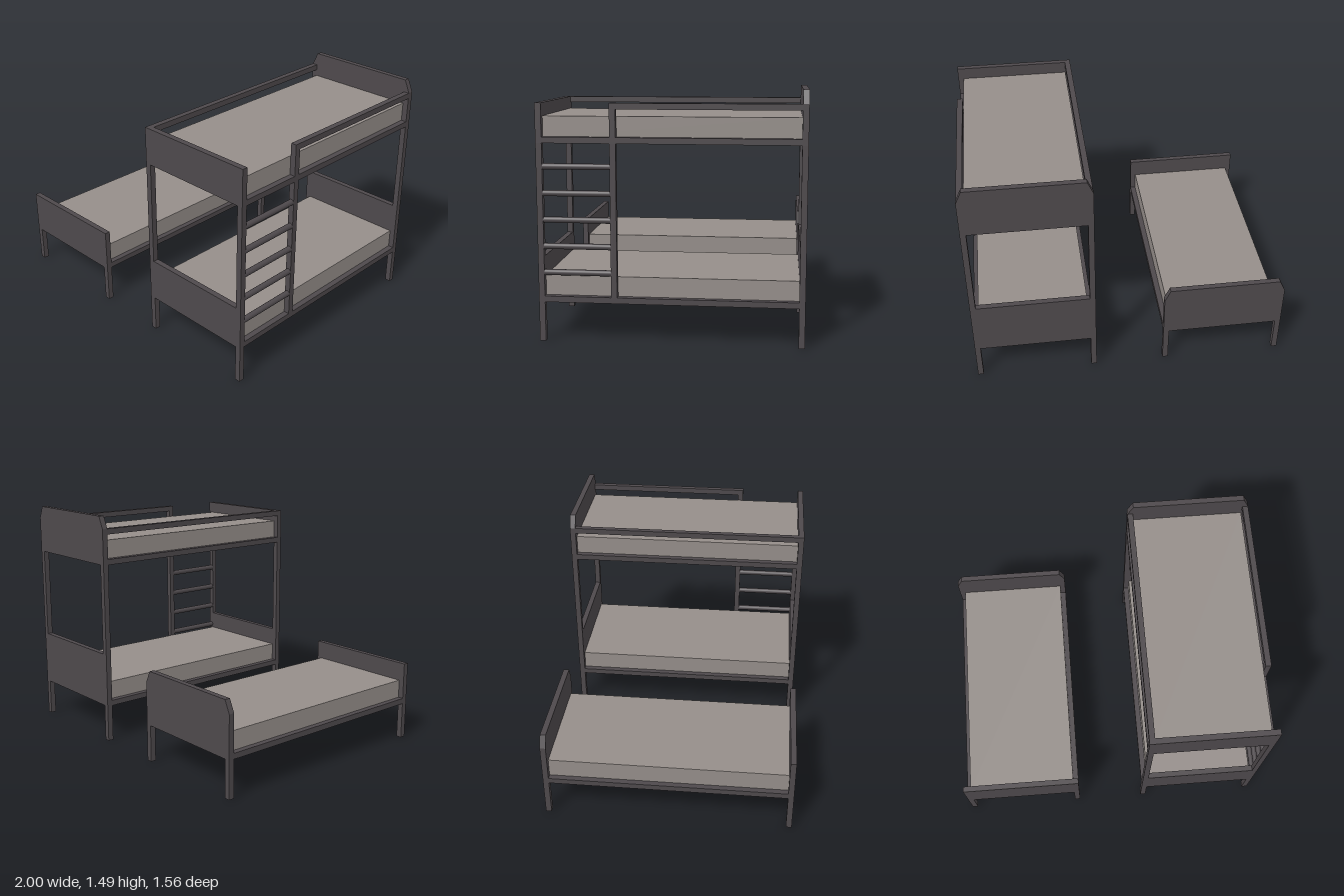
import * as THREE from 'three';

const T = 0.036;              // timber thickness
const W = 0.78, L = 1.564;    // outer bed width and length
const HX = W / 2, HZ = L / 2;

const frame = new THREE.MeshStandardMaterial({ color: 0x4e494c });
frame.name = 'dark frame';
const cloth = new THREE.MeshStandardMaterial({ color: 0x958e8a });
cloth.name = 'grey mattress';

// Box given by its limits on each axis
function box(parent, name, [x0, x1], [y0, y1], [z0, z1], material = frame) {
  const mesh = new THREE.Mesh(new THREE.BoxGeometry(x1 - x0, y1 - y0, z1 - z0), material);
  mesh.position.set((x0 + x1) / 2, (y0 + y1) / 2, (z0 + z1) / 2);
  mesh.name = name;
  parent.add(mesh);
}

// Board at the head with two chamfered top corners
function headboard(parent, y0, shoulder, top) {
  const shape = new THREE.Shape([
    [-HX, y0], [HX, y0], [HX, shoulder], [HX - T, top], [-HX + T, top], [-HX, shoulder],
  ].map(([x, y]) => new THREE.Vector2(x, y)));
  const mesh = new THREE.Mesh(
    new THREE.ExtrudeGeometry(shape, { depth: T, bevelEnabled: false }), frame);
  mesh.position.z = -HZ;
  mesh.name = 'headboard';
  parent.add(mesh);
}

// Side rails, base panel and mattress; y is the underside
function deck(parent, y) {
  const inZ = [-HZ + T, HZ - T], inX = [-HX + T, HX - T];
  box(parent, 'leftRail', [HX - T, HX], [y, y + T], inZ);
  box(parent, 'rightRail', [-HX, -HX + T], [y, y + T], inZ);
  box(parent, 'base', inX, [y, y + T], inZ);
  box(parent, 'mattress', inX, [y + T, y + 0.155], inZ, cloth);
}

// Four corner posts between the floor and the boards
function posts(parent, y1) {
  for (const x of [-HX, HX - T])
    for (const z of [-HZ, HZ - T]) box(parent, 'post', [x, x + T], [0, y1], [z, z + T]);
}

function singleBed() {
  const bed = new THREE.Group();
  bed.name = 'singleBed';
  posts(bed, 0.238);
  deck(bed, 0.238);
  box(bed, 'footboard', [-HX, HX], [0.238, 0.512], [HZ - T, HZ]);
  headboard(bed, 0.238, 0.512, 0.59);
  return bed;
}

function bunkBed() {
  const bed = new THREE.Group();
  bed.name = 'bunkBed';
  const inX = [-HX + T, HX - T];
  posts(bed, 1.18);
  deck(bed, 0.238);
  deck(bed, 1.18);

  // End boards
  box(bed, 'lowerFootboard', inX, [0.238, 0.512], [HZ - T, HZ]);
  box(bed, 'lowerHeadboard', inX, [0.238, 0.59], [-HZ, -HZ + T]);
  box(bed, 'upperFootboard', [-HX, HX], [1.18, 1.412], [HZ - T, HZ]);
  headboard(bed, 1.18, 1.412, 1.492);

  // Guard rails: full length on one side, stopping at the ladder on the other
  const ladderZ = 0.35;
  box(bed, 'rightGuardRail', [-HX, -HX + T], [1.376, 1.412], [-HZ + T, HZ - T]);
  box(bed, 'leftGuardRail', [HX - T, HX], [1.376, 1.412], [-HZ + T, ladderZ - T]);

  // Ladder upright, fitted around the upper rail
  box(bed, 'ladderPostLower', [HX - T, HX], [0.274, 1.18], [ladderZ - T, ladderZ]);
  box(bed, 'ladderPostUpper', [HX - T, HX], [1.216, 1.412], [ladderZ - T, ladderZ]);

  // Round rungs
  const length = HZ - T - ladderZ;
  for (let i = 0; i < 5; i++) {
    const rung = new THREE.Mesh(new THREE.CylinderGeometry(T / 2, T / 2, length, 24), frame);
    rung.rotation.x = Math.PI / 2;
    rung.position.set(HX - T / 2, 0.416 + i * 0.157, ladderZ + length / 2);
    rung.name = 'rung';
    bed.add(rung);
  }
  return bed;
}

export function createModel() {
  const model = new THREE.Group();
  model.name = 'bedSet';
  const single = singleBed(), bunk = bunkBed();
  single.position.x = -1 + HX;
  bunk.position.x = 1 - HX;
  model.add(single, bunk);
  return model;
}
